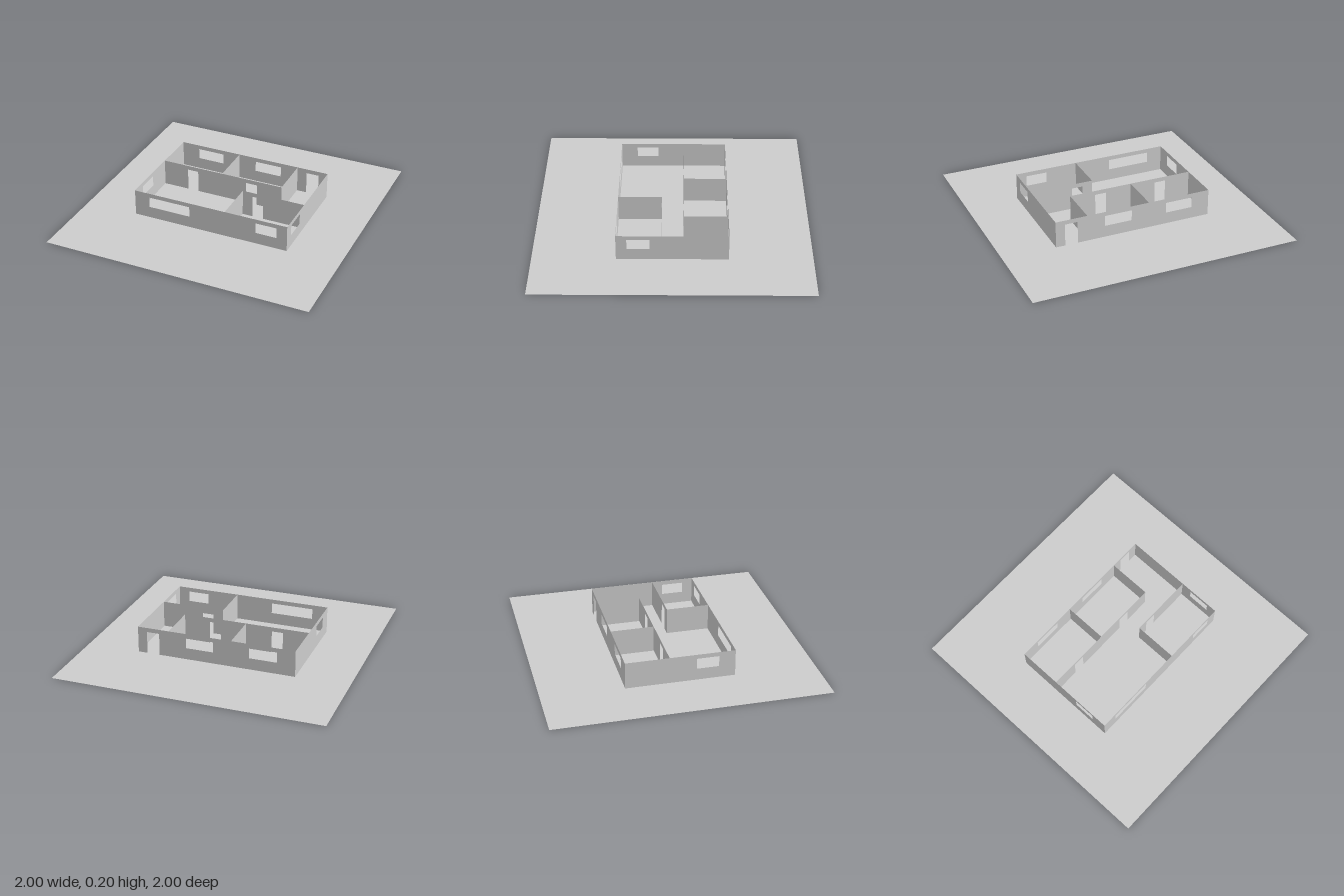
import * as THREE from 'three';

const WALL_TOP = 0.2, SILL = 0.088, HEAD = 0.168;

export function createModel() {
  const group = new THREE.Group();
  const plaster = new THREE.MeshStandardMaterial({ color: 0xcccccc, side: THREE.DoubleSide });
  plaster.name = 'plaster grey';

  // Flat ground plot
  const ground = new THREE.Mesh(new THREE.PlaneGeometry(2, 2).rotateX(-Math.PI / 2), plaster);
  ground.name = 'ground';
  group.add(ground);

  // Paper-thin wall from a to b; doors notch the outline, windows are holes.
  // axis 'x' runs along x at z = at; axis 'z' runs along z at x = at.
  function wall(name, axis, at, a, b, { doors = [], windows = [] } = {}) {
    const shape = new THREE.Shape();
    shape.moveTo(a, 0);
    for (const [d0, d1] of doors) {
      shape.lineTo(d0, 0);
      shape.lineTo(d0, HEAD);
      shape.lineTo(d1, HEAD);
      shape.lineTo(d1, 0);
    }
    shape.lineTo(b, 0);
    shape.lineTo(b, WALL_TOP);
    shape.lineTo(a, WALL_TOP);
    shape.closePath();
    for (const [w0, w1] of windows) {
      const hole = new THREE.Path();
      hole.moveTo(w0, SILL);
      hole.lineTo(w0, HEAD);
      hole.lineTo(w1, HEAD);
      hole.lineTo(w1, SILL);
      hole.closePath();
      shape.holes.push(hole);
    }
    const mesh = new THREE.Mesh(new THREE.ShapeGeometry(shape), plaster);
    mesh.name = name;
    if (axis === 'x') {
      mesh.position.z = at;
    } else {
      mesh.rotation.y = -Math.PI / 2;
      mesh.position.x = at;
    }
    group.add(mesh);
  }

  // Outer walls
  wall('frontWall', 'x', 0.4, -0.6, 0.6, { windows: [[-0.483, -0.16], [0.36, 0.52]] });
  wall('backWall', 'x', -0.4, -0.6, 0.6, {
    doors: [[0.434, 0.53]],
    windows: [[-0.464, -0.256], [0.016, 0.224]],
  });
  wall('leftWall', 'z', 0.6, -0.4, 0.4, { windows: [[0.16, 0.323]] });
  wall('rightWall', 'z', -0.6, -0.4, 0.4, { windows: [[0.118, 0.28]] });

  // Partitions around the two back rooms
  wall('backRoomsPartition', 'x', -0.08, -0.6, 0.36, { doors: [[-0.404, -0.319], [0.077, 0.163]] });
  wall('backRoomDivider', 'z', -0.12, -0.4, -0.08);
  wall('hallPartition', 'z', 0.36, -0.4, -0.08);

  // Partitions around the front corner room
  wall('cornerRoomPartition', 'x', 0.08, 0.12, 0.6, { doors: [[0.197, 0.282]] });
  wall('cornerRoomSide', 'z', 0.12, 0.08, 0.4);

  return group;
}
